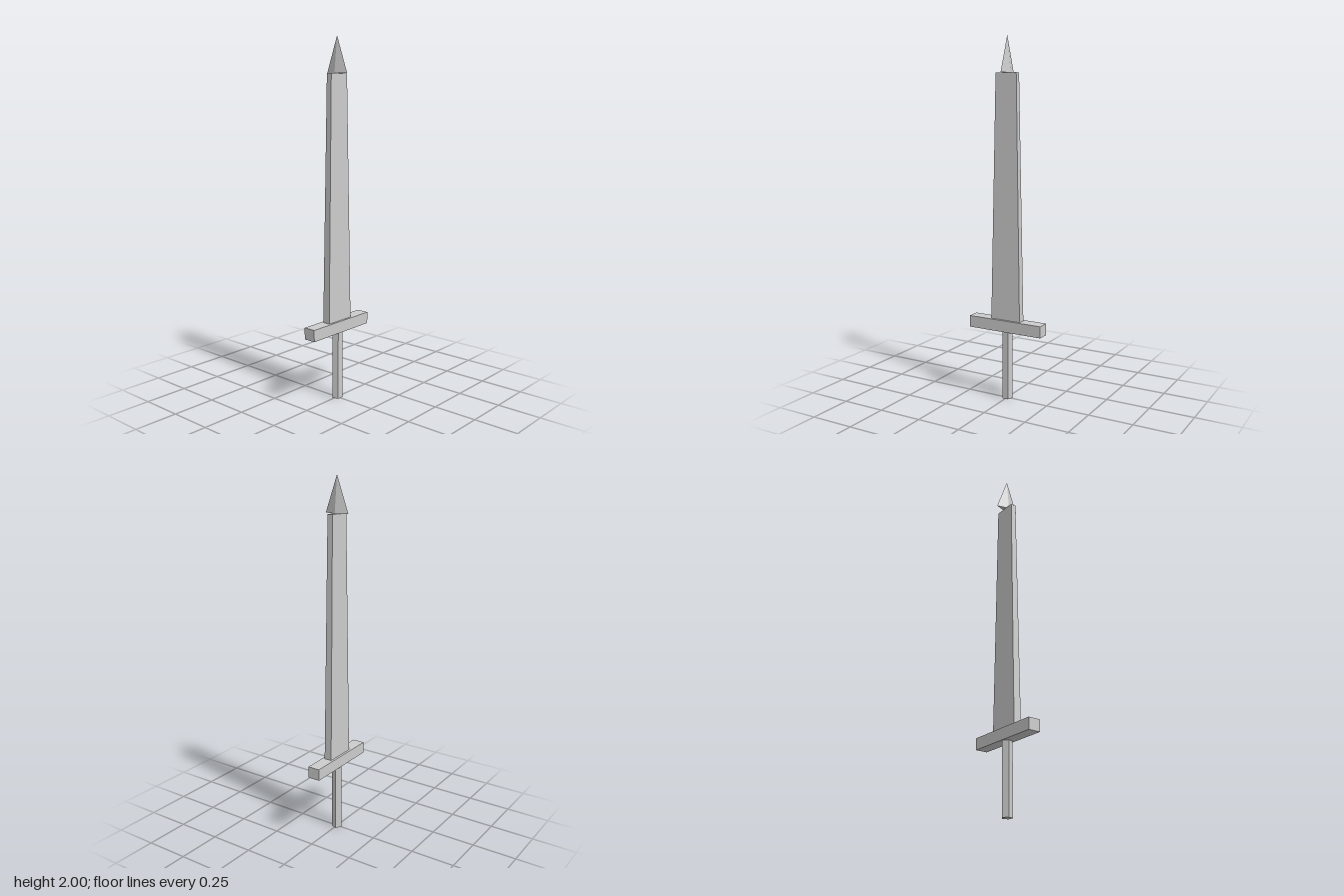
import * as THREE from 'three';

export function createModel() {
  const group = new THREE.Group();
  const material = new THREE.MeshStandardMaterial({ color: 0xcccccc, flatShading: true });

  // Adds a named part whose base sits at height y
  const add = (name, geometry, height, y) => {
    const mesh = new THREE.Mesh(geometry, material);
    mesh.name = name;
    mesh.position.y = y + height / 2;
    group.add(mesh);
  };

  // Five-sided grip with a flat face to the front
  add('handle', new THREE.CylinderGeometry(0.03, 0.03, 0.39, 5, 1, false, Math.PI), 0.39, 0);

  // Cross guard
  add('guard', new THREE.BoxGeometry(0.45, 0.065, 0.07), 0.065, 0.39);

  // Blade: a box narrowed towards its top
  const blade = new THREE.BoxGeometry(0.18, 1.35, 0.044);
  const p = blade.attributes.position;
  for (let i = 0; i < p.count; i++) {
    if (p.getY(i) > 0) {
      p.setX(i, p.getX(i) * 0.7);
      p.setZ(i, p.getZ(i) * 0.7);
    }
  }
  blade.computeVertexNormals();
  add('blade', blade, 1.35, 0.455);

  // Tip: four-sided point, thin across and wide front to back
  const tip = new THREE.ConeGeometry(1, 0.195, 4).scale(0.021, 1, 0.07);
  add('tip', tip, 0.195, 1.805);

  return group;
}
